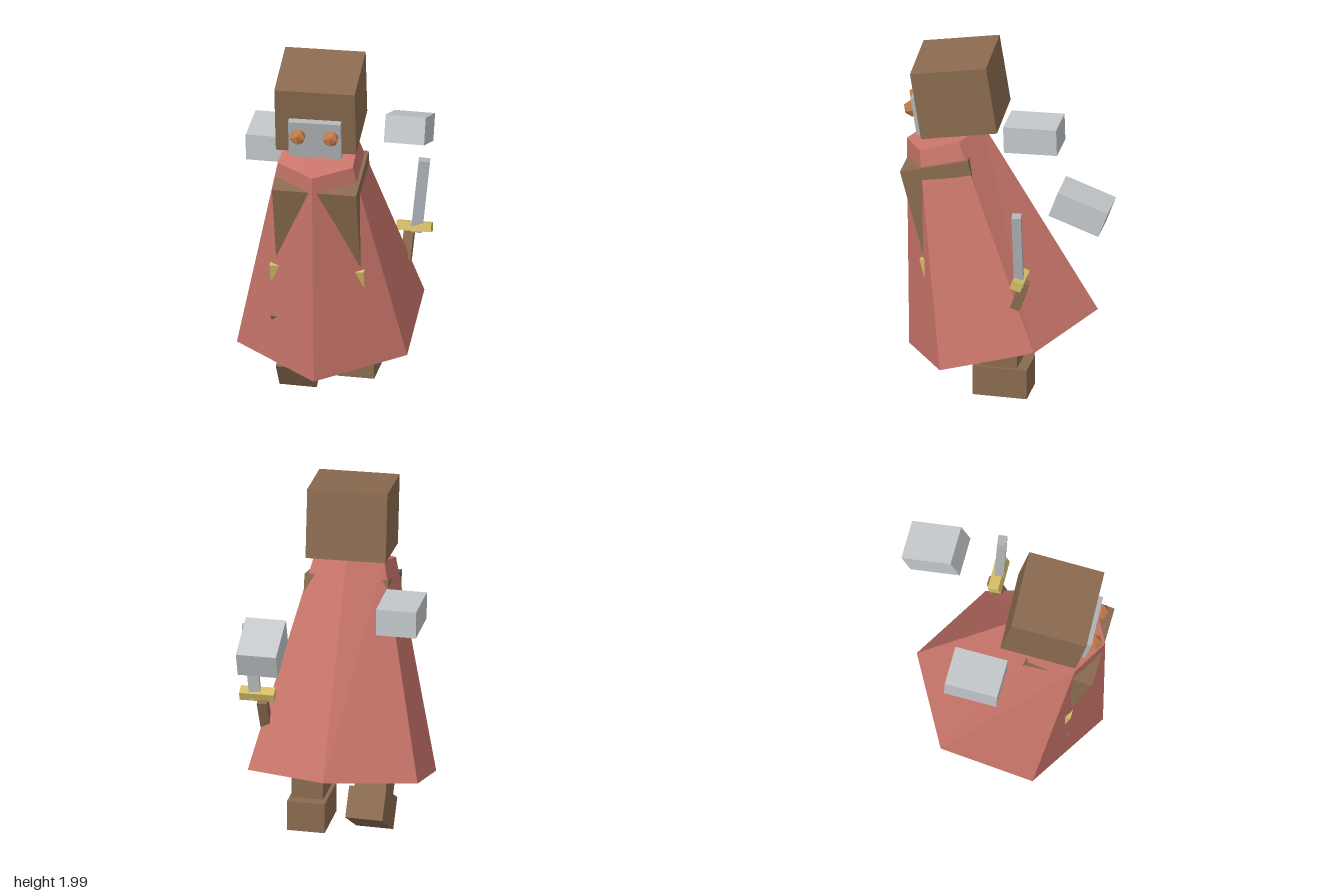
import * as THREE from 'three';

const paint = (name, color) => {
  const m = new THREE.MeshStandardMaterial({ color });
  m.name = name;
  return m;
};

export function createModel() {
  const model = new THREE.Group();
  model.name = 'cloakedFighter';

  const red = paint('cloakRed', 0xc9756a);
  const brown = paint('leatherBrown', 0x8b6b50);
  const grey = paint('gloveGrey', 0xc4c8cb);
  const steel = paint('steel', 0xb0b5b9);
  const gold = paint('gold', 0xd4bd66);
  const copper = paint('copper', 0xc07a4a);

  // Box with size, centre and turn (pitch, yaw, roll)
  const box = (name, mat, size, pos, rot = [0, 0, 0], parent = model) => {
    const mesh = new THREE.Mesh(new THREE.BoxGeometry(...size), mat);
    mesh.name = name;
    mesh.position.set(...pos);
    mesh.rotation.set(...rot, 'YXZ');
    parent.add(mesh);
    return mesh;
  };

  // Cloak: slanted six-sided frustum between two rings, front corner first
  const hem = [
    [0.02, 0.235, 0.595], [0.465, 0.31, 0.3], [0.43, 0.46, -0.215],
    [-0.05, 0.535, -0.44], [-0.5, 0.46, -0.15], [-0.465, 0.31, 0.36],
  ];
  const neck = [
    [0.015, 1.45, 0.61], [0.21, 1.48, 0.485], [0.19, 1.545, 0.27],
    [-0.01, 1.57, 0.19], [-0.195, 1.545, 0.29], [-0.2, 1.475, 0.51],
  ];
  const index = [];
  for (let i = 0; i < 6; i++) {
    const j = (i + 1) % 6;
    index.push(i, j, 6 + j, i, 6 + j, 6 + i);
    if (i > 0 && i < 5) index.push(6, 6 + i, 6 + j, 0, j, i);
  }
  const ringGeo = new THREE.BufferGeometry();
  ringGeo.setAttribute('position', new THREE.Float32BufferAttribute([...hem, ...neck].flat(), 3));
  ringGeo.setIndex(index);
  const cloakGeo = ringGeo.toNonIndexed();
  cloakGeo.computeVertexNormals();
  const cloak = new THREE.Mesh(cloakGeo, red);
  cloak.name = 'cloak';
  model.add(cloak);

  // Body leaning forward, with corners showing through the cloak
  const lean = [0.26, 0.065, 0];
  box('torso', brown, [0.46, 0.6, 0.385], [0.006, 1.118, 0.334], lean);
  box('belt', gold, [0.515, 0.1, 0.42], [-0.005, 0.86, 0.27], lean);

  // Head with face plate and faceted eyes
  const head = new THREE.Group();
  head.name = 'head';
  head.position.set(-0.01, 1.778, 0.318);
  head.rotation.set(0.157, 0.105, 0, 'YXZ');
  model.add(head);
  box('skull', brown, [0.437, 0.385, 0.42], [0, 0, 0], [0, 0, 0], head);
  box('facePlate', steel, [0.285, 0.22, 0.04], [0, -0.092, 0.228], [0, 0, 0], head);
  for (const side of [-1, 1]) {
    const eye = new THREE.Mesh(new THREE.IcosahedronGeometry(0.047, 0), copper);
    eye.name = side > 0 ? 'leftEye' : 'rightEye';
    eye.position.set(side * 0.09, -0.063, 0.262);
    head.add(eye);
  }

  // Floating hands
  const handSize = [0.22, 0.15, 0.292];
  box('rightHand', grey, handSize, [-0.367, 1.38, 0.005], [0.03, 0.065, 0]);
  box('leftHand', grey, handSize, [0.288, 1.3, -0.447], [-0.35, 0.065, 0]);

  // Legs: the right one is swung back at the knee
  const swing = [0.56, 0.03, 0];
  box('rightShin', brown, [0.175, 0.44, 0.2], [-0.163, 0.413, 0.285], swing);
  box('rightFoot', brown, [0.205, 0.175, 0.3], [-0.168, 0.163, 0.12], swing);
  box('leftShin', brown, [0.175, 0.42, 0.2], [0.145, 0.45, 0.04], [0, 0.05, 0]);
  box('leftFoot', brown, [0.207, 0.17, 0.3], [0.14, 0.172, 0.033], [0, 0.05, 0]);

  // Dagger
  const dagger = new THREE.Group();
  dagger.name = 'dagger';
  model.add(dagger);
  box('blade', steel, [0.062, 0.43, 0.05], [0.431, 1.062, -0.127], [0.025, 0.2, -0.1], dagger);
  box('guard', gold, [0.19, 0.05, 0.062], [0.398, 0.875, -0.128], [-0.34, 0.08, 0], dagger);
  box('grip', brown, [0.055, 0.17, 0.052], [0.362, 0.768, -0.123], [-0.34, 0.08, -0.06], dagger);

  return model;
}
